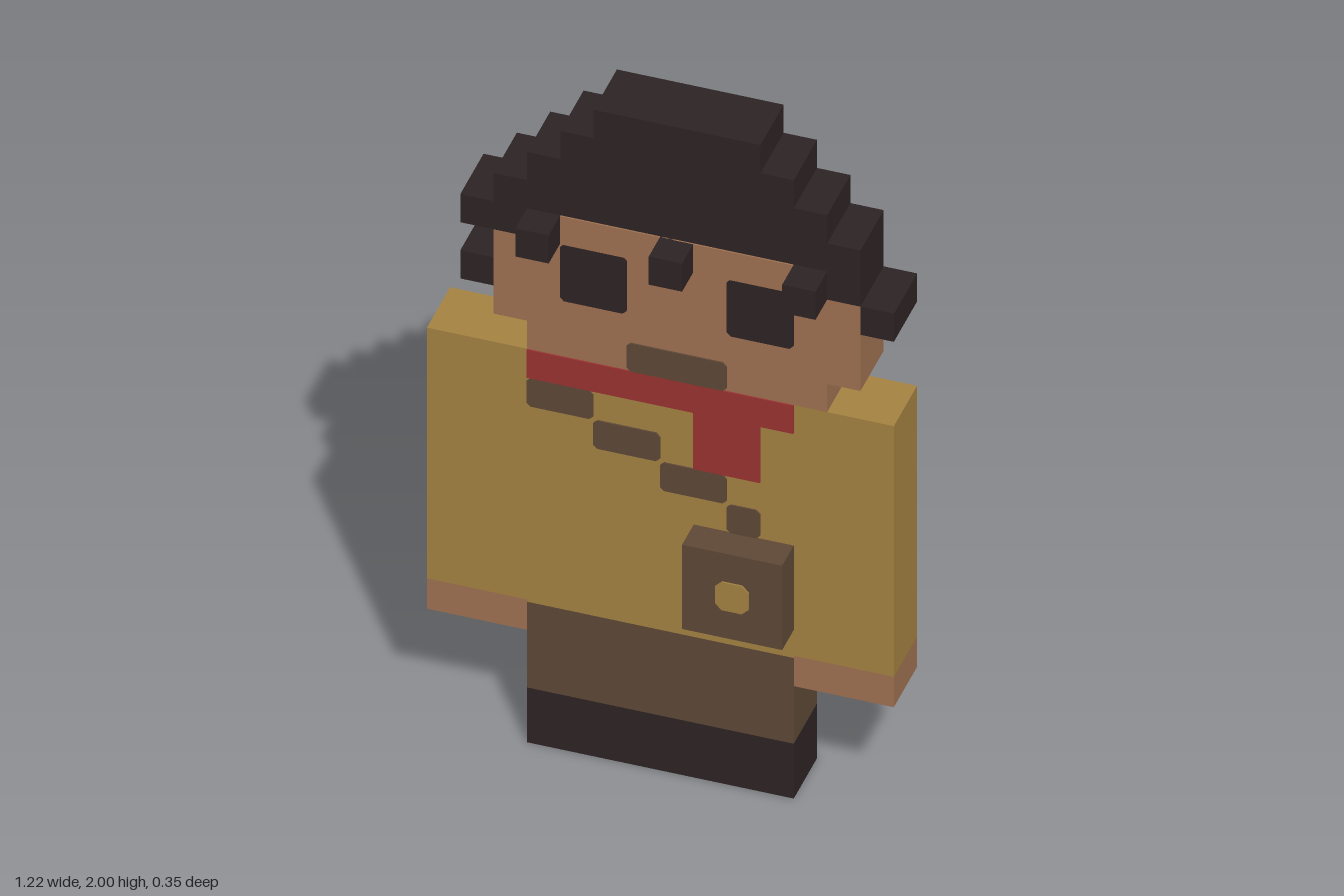
import * as THREE from 'three';

const U = 2 / 23; // one block; the figure is 23 blocks tall

const material = (name, color) => {
  const m = new THREE.MeshStandardMaterial({ color });
  m.name = name;
  return m;
};

export function createModel() {
  const hair = material('darkHair', 0x2d2324);
  const skin = material('skin', 0xa07252);
  const coat = material('mustardCoat', 0xa68342);
  const red = material('redScarf', 0x9b3331);
  const brown = material('brownCloth', 0x5f4937);

  const model = new THREE.Group();
  model.name = 'blockFigure';

  // Box between block coordinates
  const block = (name, mat, x0, x1, y0, y1, z0 = -1, z1 = 1) => {
    const mesh = new THREE.Mesh(
      new THREE.BoxGeometry((x1 - x0) * U, (y1 - y0) * U, (z1 - z0) * U), mat);
    mesh.position.set((x0 + x1) / 2 * U, (y0 + y1) / 2 * U, (z0 + z1) / 2 * U);
    mesh.name = name;
    model.add(mesh);
  };

  // Thin painted plate with slightly clipped corners, on a front or back surface
  const plate = (name, mat, x0, x1, y0, y1, z = 1, clip = 0.12) => {
    const s = new THREE.Shape([
      [x0 + clip, y0], [x1 - clip, y0], [x1, y0 + clip], [x1, y1 - clip],
      [x1 - clip, y1], [x0 + clip, y1], [x0, y1 - clip], [x0, y0 + clip],
    ].map(([x, y]) => new THREE.Vector2(x * U, y * U)));
    const geo = new THREE.ExtrudeGeometry(s, { depth: 0.004, bevelEnabled: false });
    geo.translate(0, 0, z > 0 ? z * U : z * U - 0.004);
    const mesh = new THREE.Mesh(geo, mat);
    mesh.name = name;
    model.add(mesh);
  };

  // Legs, hands and coat
  block('shoes', hair, -4, 4, 0, 1.95);
  block('trousers', brown, -4, 4, 1.95, 5);
  block('rightHand', skin, -7, -4, 4, 5.08);
  block('leftHand', skin, 4, 7, 4, 5.08);
  block('rightSleeve', coat, -7, -4, 5.08, 14);
  block('leftSleeve', coat, 4, 7, 5.08, 14);
  block('coat', coat, -4, 4, 5, 14);

  // Head
  block('jaw', skin, -4, 5, 14, 15);
  block('face', skin, -5, 6, 15, 18);

  // Stepped hair, each row [left edge, right edge], bottom to top
  [[-6, 6], [-5, 6], [-4, 5], [-3, 4], [-2, 3]].forEach(([a, b], i) =>
    block('hairRow', hair, a, b, 18 + i, 19 + i));
  block('rightHairTuft', hair, -6, -5, 16, 17);
  block('leftHairTuft', hair, 6, 7, 17, 18);

  // Forehead and fringe curls
  plate('forehead', skin, -3, 4, 18, 19, 1, 0);
  for (const x of [-4, 0, 4]) block('fringeCurl', hair, x, x + 1, 18, 19, 1, 2);

  // Chequered curls on the back of the head
  plate('backHair', hair, -4, 5, 16, 18, -1, 0);
  for (let row = 0; row < 3; row++)
    for (let x = -4 + (row % 2); x < 5; x += 2)
      block('backCurl', hair, x, x + 1, 16 + row, 17 + row, -2, -1);

  // Facial features
  plate('rightEye', hair, -3, -1, 16, 18);
  plate('leftEye', hair, 2, 4, 16, 18);
  plate('mouth', brown, -1, 2, 14, 15);

  // Scarf round the neck with a hanging end
  plate('scarfFront', red, -4, 4, 13, 14, 1, 0);
  plate('scarfBack', red, -4, 4, 13, 14, -1, 0);
  plate('scarfEnd', red, 1, 3, 11, 13, 1, 0);

  // Diagonal strap and satchel
  [[-4, -2], [-2, 0], [0, 2], [2, 3]].forEach(([a, b], i) =>
    plate('strap', brown, a, b, 12 - i, 13 - i));
  block('satchel', brown, 1, 4, 6, 9, 1, 2);
  plate('satchelClasp', coat, 2, 3, 7, 8, 2, 0.2);

  return model;
}
